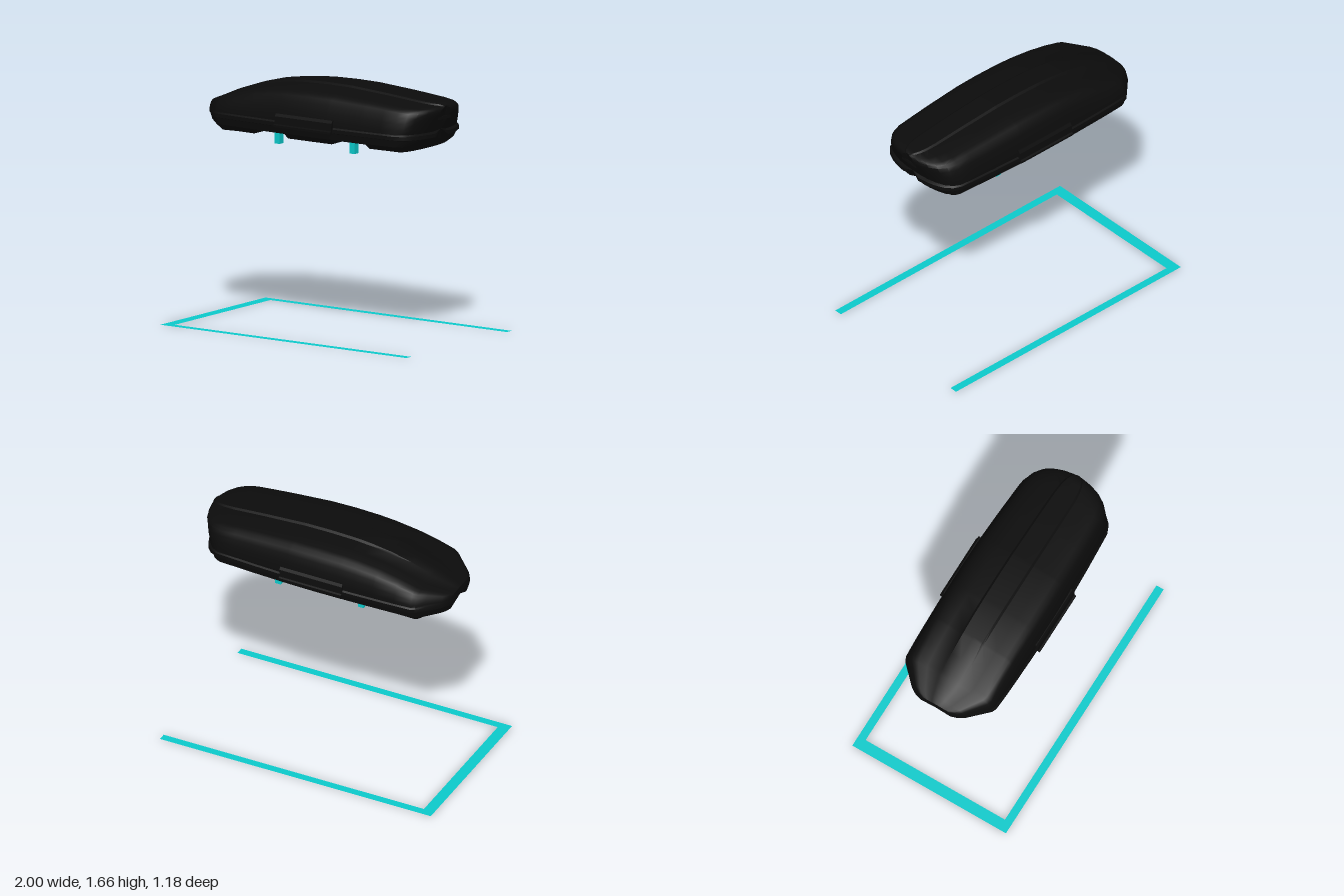
import * as THREE from 'three';
import { toCreasedNormals } from 'three/addons/utils/BufferGeometryUtils.js';

const black = new THREE.MeshStandardMaterial({ color: 0x0c0c0c });
black.name = 'black shell';
const cyan = new THREE.MeshStandardMaterial({ color: 0x0ccccd });
cyan.name = 'cyan marker';
const cyanFlat = new THREE.MeshStandardMaterial({ color: 0x0ccccd, side: THREE.DoubleSide });
cyanFlat.name = 'cyan flat marker';

// Stations along the box: x, half width, roof height, floor height
const STATIONS = [
  [-0.92, 0.12, 1.45, 1.30], [-0.905, 0.165, 1.46, 1.298], [-0.88, 0.205, 1.473, 1.295],
  [-0.8, 0.285, 1.507, 1.293], [-0.75, 0.335, 1.528, 1.29], [-0.72, 0.348, 1.54, 1.29],
  [-0.6, 0.355, 1.582, 1.295], [-0.46, 0.36, 1.619, 1.295], [-0.44, 0.36, 1.623, 1.32],
  [-0.3, 0.364, 1.645, 1.32], [-0.21, 0.365, 1.653, 1.32], [-0.18, 0.366, 1.655, 1.293],
  [0, 0.367, 1.66, 1.293], [0.17, 0.364, 1.658, 1.293], [0.19, 0.363, 1.657, 1.32],
  [0.44, 0.352, 1.64, 1.32], [0.47, 0.35, 1.638, 1.295], [0.6, 0.342, 1.627, 1.295],
  [0.71, 0.335, 1.617, 1.295], [0.78, 0.31, 1.611, 1.295], [0.83, 0.265, 1.606, 1.295],
  [0.865, 0.2, 1.603, 1.295], [0.885, 0.135, 1.597, 1.295], [0.895, 0.07, 1.59, 1.295],
];
const SEAM = 1.42;

function table(points, y) {
  if (y <= points[0][0]) return points[0][1];
  for (let i = 1; i < points.length; i++) {
    const [y0, v0] = points[i - 1], [y1, v1] = points[i];
    if (y <= y1) return v0 + (v1 - v0) * (y - y0) / (y1 - y0);
  }
  return points[points.length - 1][1];
}
// How far nose and tail reach at each height
const NOSE = [[1.29, 0.5], [1.305, 0.65], [1.335, 0.92], [1.36, 1]];
const TAIL = [[1.29, 0.25], [1.335, 0.6], [1.38, 0.75], [1.385, 0.83], [1.41, 0.83], [1.42, 0.72], [1.55, 1]];
function reach(x, y) {
  if (x > 0.7) return 0.7 + (x - 0.7) * table(TAIL, y);
  if (x < -0.72) return -0.72 + (x + 0.72) * table(NOSE, y);
  return x;
}

// Closed cross-section: base, rim lip, curved lid and raised centre ridge
function section([x, w, top, floor]) {
  const lid = (k, h) => [k, SEAM + (top - SEAM) * h];
  const half = [
    [0, floor], [0.78, floor], [0.93, 1.335], [0.96, 1.38],
    [1, 1.385], [1, 1.41], [0.975, SEAM],
    lid(0.968, 0.15), lid(0.94, 0.38), lid(0.9, 0.58), lid(0.855, 0.73), lid(0.79, 0.82),
    lid(0.7, 0.87), lid(0.5, 0.915), lid(0.24, 0.945), lid(0.2, 0.995), [0, top],
  ];
  const mirrored = half.slice(1, -1).reverse().map(([k, y]) => [-k, y]);
  return [...half, ...mirrored].map(([k, y]) => [reach(x, y), y, k * w]);
}

function shellGeometry() {
  const rings = STATIONS.map(section);
  const n = rings[0].length, last = rings.length - 1;
  const pos = rings.flat(2), index = [];
  for (let i = 0; i < last; i++) {
    for (let j = 0; j < n; j++) {
      const k = (j + 1) % n;
      const a = i * n + j, b = a + n, c = (i + 1) * n + k, d = i * n + k;
      index.push(a, b, c, a, c, d);
    }
  }
  // End caps
  const nose = pos.length / 3;
  pos.push(-0.922, 1.4, 0, 0.85, 1.43, 0);
  for (let j = 0; j < n; j++) {
    const k = (j + 1) % n;
    index.push(nose, j, k, nose + 1, last * n + k, last * n + j);
  }
  const g = new THREE.BufferGeometry();
  g.setAttribute('position', new THREE.Float32BufferAttribute(pos, 3));
  g.setIndex(index);
  return toCreasedNormals(g, 0.55);
}

// Side grip with a flange along its lower edge, extruded along x
function gripGeometry() {
  const s = new THREE.Shape([
    [0.33, 1.38], [0.385, 1.38], [0.385, 1.394], [0.374, 1.4], [0.37, 1.45], [0.358, 1.468], [0.33, 1.468],
  ].map(([z, y]) => new THREE.Vector2(z, y)));
  const g = new THREE.ExtrudeGeometry(s, { depth: 0.46, bevelEnabled: false });
  g.translate(0, 0, -0.23);
  g.rotateY(-Math.PI / 2);
  return g;
}

export function createModel() {
  const model = new THREE.Group();
  model.name = 'roofBoxWithFloorOutline';
  const add = (name, geometry, material, x = 0, y = 0, z = 0) => {
    const mesh = new THREE.Mesh(geometry, material);
    mesh.name = name;
    mesh.position.set(x, y, z);
    model.add(mesh);
    return mesh;
  };

  add('cargoBoxShell', shellGeometry(), black);

  // Grips on both long sides
  const grip = gripGeometry();
  add('frontSideGrip', grip, black);
  add('backSideGrip', grip, black).rotation.y = Math.PI;

  // Small pull on the tail
  add('tailPull', new THREE.BoxGeometry(0.02, 0.02, 0.13), black, 0.872, 1.51, 0);

  // Four mounting posts
  const post = new THREE.BoxGeometry(0.042, 0.095, 0.045);
  for (const x of [-0.305, 0.305])
    for (const z of [-0.22, 0.22]) add('mountingPost', post, cyan, x, 1.2855, z);

  // Flat three-sided outline on the floor
  const outline = new THREE.Shape([
    [-1, -0.592], [1, -0.592], [1, -0.537], [-0.922, -0.537],
    [-0.922, 0.537], [1, 0.537], [1, 0.592], [-1, 0.592],
  ].map(([x, y]) => new THREE.Vector2(x, y)));
  const floor = new THREE.ShapeGeometry(outline);
  floor.rotateX(-Math.PI / 2);
  add('floorOutline', floor, cyanFlat);

  return model;
}
